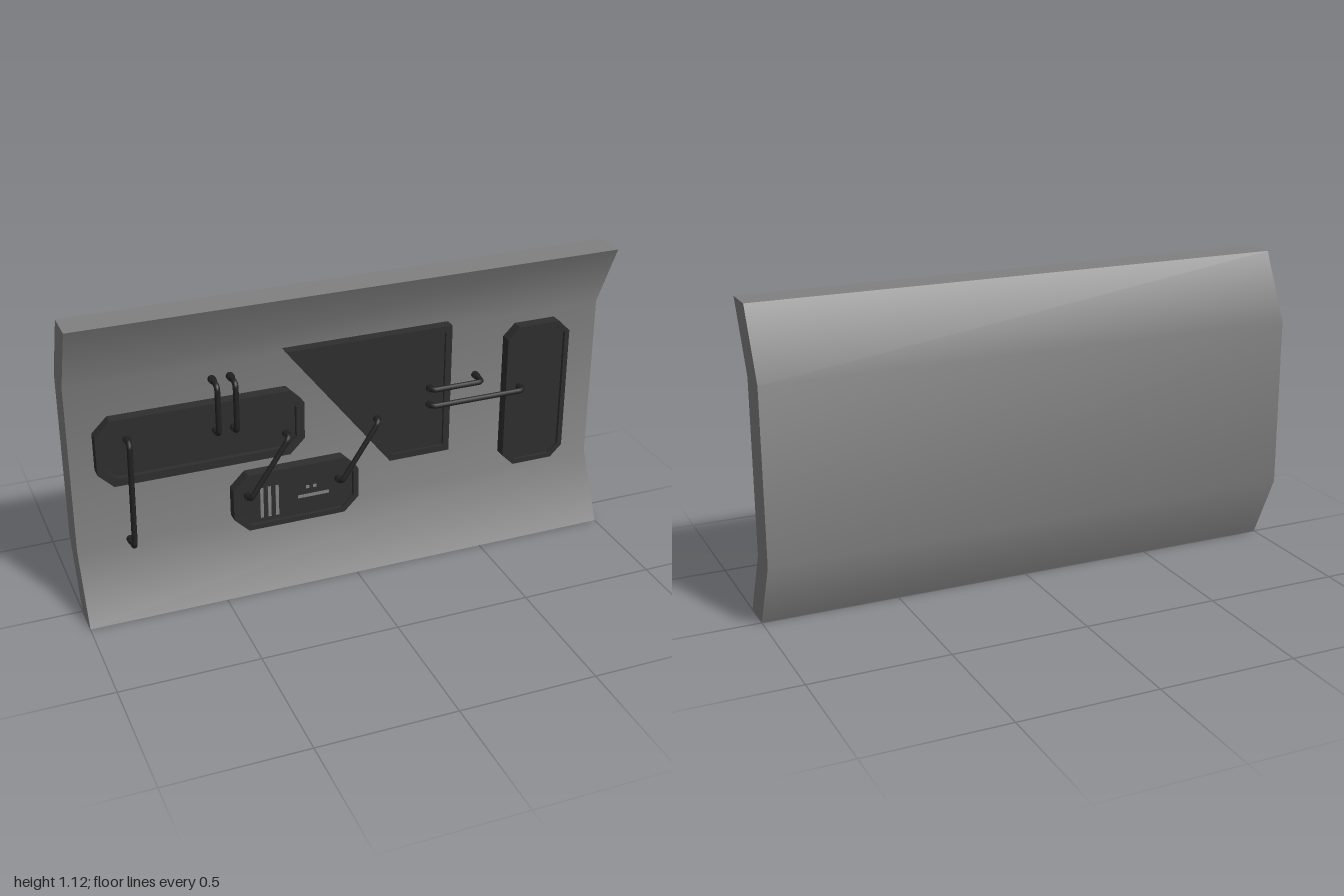
import * as THREE from 'three';

const wallMat = new THREE.MeshStandardMaterial({ color: 0x808080 });
const panelMat = new THREE.MeshStandardMaterial({ color: 0x2e2e2e });
const pipeMat = new THREE.MeshStandardMaterial({ color: 0x222222 });

function add(parent, name, geometry, material) {
  const mesh = new THREE.Mesh(geometry, material);
  mesh.name = name;
  parent.add(mesh);
  return mesh;
}

// Moves every edge of a counter-clockwise outline inwards by d
function inset(points, d) {
  const n = points.length;
  return points.map((p, i) => {
    const a = p.clone().sub(points[(i + n - 1) % n]).normalize();
    const b = points[(i + 1) % n].clone().sub(p).normalize();
    const n1 = new THREE.Vector2(-a.y, a.x), n2 = new THREE.Vector2(-b.y, b.x);
    const miter = n1.clone().add(n2).normalize();
    return p.clone().addScaledVector(miter, d / miter.dot(n1));
  });
}

// Rectangle with cut corners
function chamferedRect(x0, x1, y0, y1, c) {
  return [[x0 + c, y0], [x1 - c, y0], [x1, y0 + c], [x1, y1 - c],
    [x1 - c, y1], [x0 + c, y1], [x0, y1 - c], [x0, y0 + c]];
}

// Panel with a raised rim around a sunken face
function makePanel(name, corners, depth, rim, recess) {
  const group = new THREE.Group();
  group.name = name;
  const outer = corners.map(([x, y]) => new THREE.Vector2(x, y));
  const inner = inset(outer, rim);
  const rimShape = new THREE.Shape(outer);
  rimShape.holes.push(new THREE.Path(inner));
  add(group, 'rim', new THREE.ExtrudeGeometry(rimShape, { depth, bevelEnabled: false }), panelMat);
  add(group, 'face', new THREE.ExtrudeGeometry(new THREE.Shape(inner),
    { depth: depth - recess, bevelEnabled: false }), panelMat);
  return group;
}

// Pipe standing off the surface, with a rounded elbow down to each end
function makePipe([x0, y0, base0], [x1, y1, base1]) {
  const z = 0.066, r = 0.02, radius = 0.01;
  const group = new THREE.Group();
  group.name = 'pipe';
  const start = new THREE.Vector3(x0, y0, base0), end = new THREE.Vector3(x1, y1, base1);
  const c0 = new THREE.Vector3(x0, y0, z), c1 = new THREE.Vector3(x1, y1, z);
  const dir = c1.clone().sub(c0).normalize();
  const up0 = new THREE.Vector3(x0, y0, z - r), up1 = new THREE.Vector3(x1, y1, z - r);
  const in0 = c0.clone().addScaledVector(dir, r), in1 = c1.clone().addScaledVector(dir, -r);
  const path = new THREE.CurvePath();
  path.add(new THREE.LineCurve3(start, up0));
  path.add(new THREE.QuadraticBezierCurve3(up0, c0, in0));
  path.add(new THREE.LineCurve3(in0, in1));
  path.add(new THREE.QuadraticBezierCurve3(in1, c1, up1));
  path.add(new THREE.LineCurve3(up1, end));
  add(group, 'tube', new THREE.TubeGeometry(path, 64, radius, 10, false), pipeMat);
  for (const p of [start, end]) {
    const collar = add(group, 'collar', new THREE.CylinderGeometry(0.014, 0.014, 0.02, 12), pipeMat);
    collar.rotation.x = Math.PI / 2;
    collar.position.copy(p).setZ(p.z + 0.01);
  }
  return group;
}

// Wall slab: smooth front and back sheets folded along a profile, with flat edges
function makeWall() {
  const wall = new THREE.Group();
  wall.name = 'wall';
  const front = [[1.125, 0.12], [0.88, 0], [0.25, 0], [0, 0.12]];
  const t = 0.12;
  for (const [name, flip] of [['wallFront', false], ['wallBack', true]]) {
    const g = new THREE.PlaneGeometry(2, 1, 1, 3);
    if (flip) g.rotateY(Math.PI);
    const pos = g.attributes.position;
    for (let i = 0; i < pos.count; i++) {
      const [y, z] = front[Math.floor(i / 2)];
      pos.setY(i, y);
      pos.setZ(i, flip ? z - t : z);
    }
    g.computeVertexNormals();
    add(wall, name, g, wallMat);
  }
  for (const [name, y, turn] of [['topEdge', 1.125, -1], ['bottomEdge', 0, 1]]) {
    const g = new THREE.PlaneGeometry(2, t).rotateX(turn * Math.PI / 2).translate(0, y, t / 2);
    add(wall, name, g, wallMat);
  }
  const section = new THREE.Shape([
    ...front.map(([y, z]) => new THREE.Vector2(-z, y)),
    ...front.slice().reverse().map(([y, z]) => new THREE.Vector2(t - z, y)),
  ]);
  for (const side of [1, -1]) {
    const g = new THREE.ShapeGeometry(section);
    if (side < 0) g.scale(-1, 1, 1).setIndex(Array.from(g.index.array).reverse());
    g.rotateY(side * Math.PI / 2).translate(side, 0, 0);
    g.computeVertexNormals();
    add(wall, side > 0 ? 'leftEnd' : 'rightEnd', g, wallMat);
  }
  return wall;
}

export function createModel() {
  const model = new THREE.Group();
  model.name = 'wallSection';
  model.add(makeWall());

  // Panels
  model.add(makePanel('longPanel', chamferedRect(-0.915, -0.17, 0.5, 0.75, 0.055), 0.043, 0.03, 0.018));
  model.add(makePanel('tallPanel', chamferedRect(0.62, 0.87, 0.28, 0.845, 0.045), 0.043, 0.018, 0.012));
  model.add(makePanel('wedgePanel',
    [[0.155, 0.4], [0.39, 0.4], [0.39, 0.9], [-0.237, 0.9]], 0.05, 0.024, 0.01));
  const control = makePanel('controlPanel', chamferedRect(-0.44, 0.035, 0.22, 0.445, 0.055), 0.043, 0.02, 0.012);
  model.add(control);

  // Vents and indicators on the control panel: x, y, width, height
  const marks = [
    ...[-0.332, -0.303, -0.274].map(x => ['vent', x, 0.318, 0.012, 0.122]),
    ['slot', -0.136, 0.313, 0.118, 0.012],
    ...[-0.158, -0.131].map(x => ['indicator', x, 0.348, 0.012, 0.012]),
  ];
  for (const [name, x, y, w, h] of marks) {
    add(control, name, new THREE.BoxGeometry(w, h, 0.004), wallMat).position.set(x, y, 0.031);
  }

  // Pipes: x, y and base depth of each end
  const pipes = [
    [[-0.803, 0.665, 0.02], [-0.81, 0.26, 0]],
    [[-0.49, 0.825, 0], [-0.49, 0.64, 0.02]],
    [[-0.425, 0.825, 0], [-0.425, 0.64, 0.02]],
    [[-0.235, 0.58, 0.025], [-0.385, 0.36, 0.03]],
    [[0.105, 0.58, 0.035], [-0.04, 0.36, 0.03]],
    [[0.31, 0.665, 0.035], [0.51, 0.665, 0]],
    [[0.31, 0.6, 0.035], [0.68, 0.6, 0.03]],
  ];
  for (const [a, b] of pipes) model.add(makePipe(a, b));
  return model;
}
